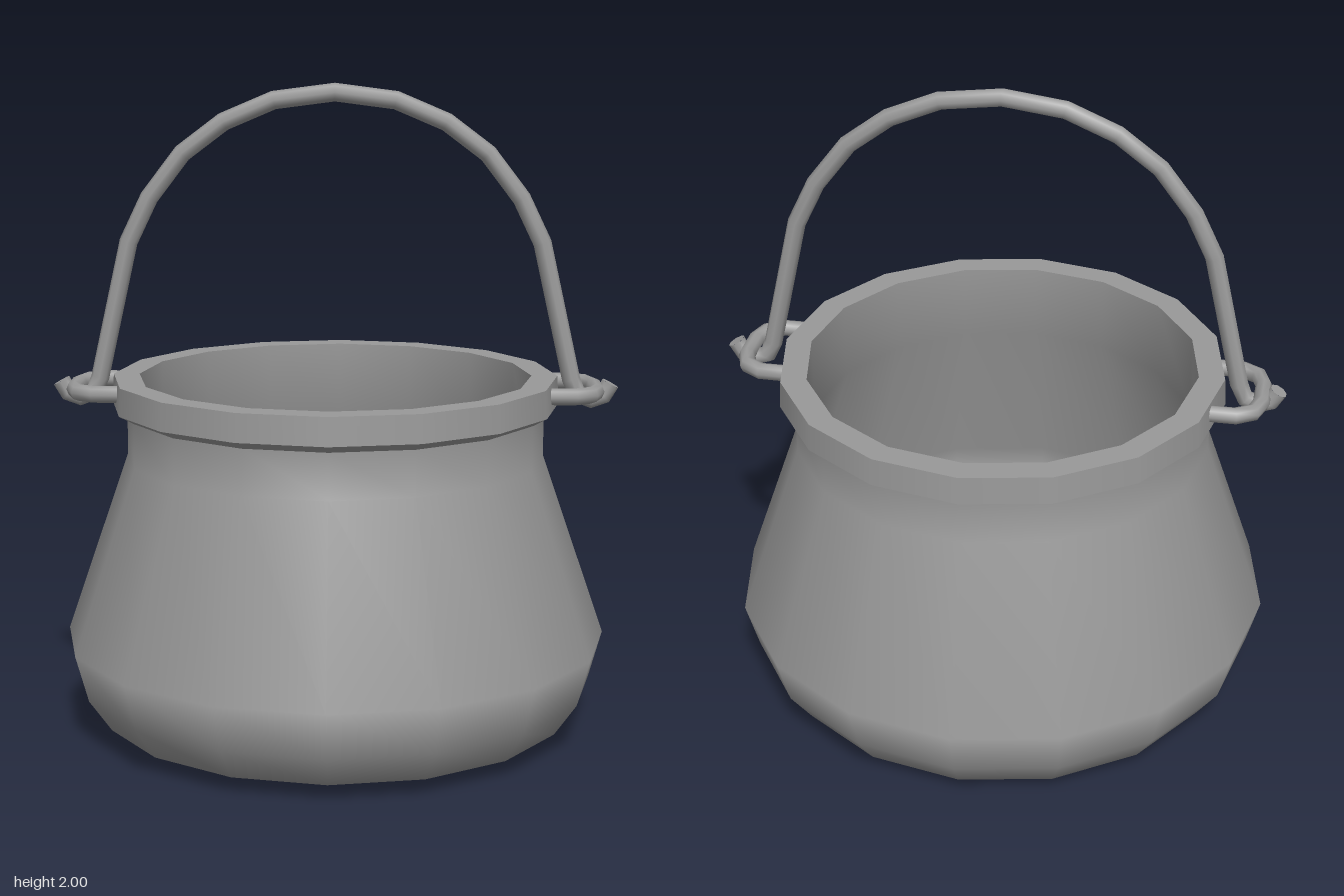
import * as THREE from 'three';
import { mergeGeometries } from 'three/addons/utils/BufferGeometryUtils.js';

const SIDES = 16;

// Curve that steps exactly through its points, so tubes keep their low-poly bends
class BentPath extends THREE.Curve {
  constructor(points) {
    super();
    this.points = points;
  }
  index(t) {
    return Math.round(t * (this.points.length - 1));
  }
  getPointAt(t, target = new THREE.Vector3()) {
    return target.copy(this.points[this.index(t)]);
  }
  getTangentAt(t, target = new THREE.Vector3()) {
    const p = this.points, i = this.index(t), here = p[i];
    const before = p[Math.max(i - 1, 0)], after = p[Math.min(i + 1, p.length - 1)];
    target.copy(here).sub(before).normalize();
    return target.add(after.clone().sub(here).normalize()).normalize();
  }
}

// Bent rod with closed ends
function rod(points, radius, sides) {
  const path = new BentPath(points);
  const parts = [new THREE.TubeGeometry(path, points.length - 1, radius, sides, false)];
  for (const end of [0, 1]) {
    const outward = path.getTangentAt(end).multiplyScalar(end ? 1 : -1);
    const turn = new THREE.Quaternion().setFromUnitVectors(new THREE.Vector3(0, 0, 1), outward);
    const cap = new THREE.CircleGeometry(radius, sides).applyQuaternion(turn);
    const p = points[end * (points.length - 1)];
    parts.push(cap.translate(p.x, p.y, p.z));
  }
  return mergeGeometries(parts);
}

function lathe(profile) {
  return new THREE.LatheGeometry(profile.map(([r, y]) => new THREE.Vector2(r, y)), SIDES);
}

export function createModel() {
  const group = new THREE.Group();
  const iron = new THREE.MeshStandardMaterial({ color: 0x999999 });
  iron.name = 'iron grey';

  const add = (name, geometry) => {
    const mesh = new THREE.Mesh(geometry, iron);
    mesh.name = name;
    group.add(mesh);
  };

  // Pot: smooth outer shell and smooth inside
  add('potBody', lathe([
    [0, 0], [0.52, 0.005], [0.73, 0.05], [0.8, 0.15], [0.84, 0.295], [0.645, 0.86], [0.645, 1.0],
  ]));
  add('potInside', lathe([
    [0.605, 1.11], [0.605, 0.87], [0.79, 0.3], [0.75, 0.17], [0.69, 0.09], [0.5, 0.05], [0, 0.045],
  ]));

  // Rim: separate rings keep its edges sharp
  add('rimUnderside', lathe([[0.645, 1.0], [0.69, 1.025]]));
  add('rimBand', lathe([[0.69, 1.025], [0.685, 1.11]]));
  add('rimTop', lathe([[0.685, 1.11], [0.605, 1.11]]));

  // Side loops that hold the handle
  const loopHalf = [[0.62, 0.14], [0.73, 0.14], [0.78, 0.11], [0.8, 0.05]];
  const loop = [...loopHalf, ...loopHalf.slice().reverse().map(([x, z]) => [x, -z])];
  for (const [side, name] of [[1, 'leftLoop'], [-1, 'rightLoop']]) {
    add(name, rod(loop.map(([x, z]) => new THREE.Vector3(side * x, 1.07, z)), 0.026, 8));
  }

  // Arched handle, hooked under each loop
  const handleHalf = [
    [0.848, 1.088], [0.827, 1.05], [0.79, 1.037], [0.748, 1.052], [0.727, 1.1],
    [0.632, 1.52], [0.567, 1.655], [0.464, 1.79], [0.338, 1.885], [0.185, 1.95],
  ];
  const handle = [...handleHalf, [0, 1.974], ...handleHalf.slice().reverse().map(([x, y]) => [-x, y])];
  add('handle', rod(handle.map(([x, y]) => new THREE.Vector3(x, y, 0)), 0.028, 8));

  return group;
}
